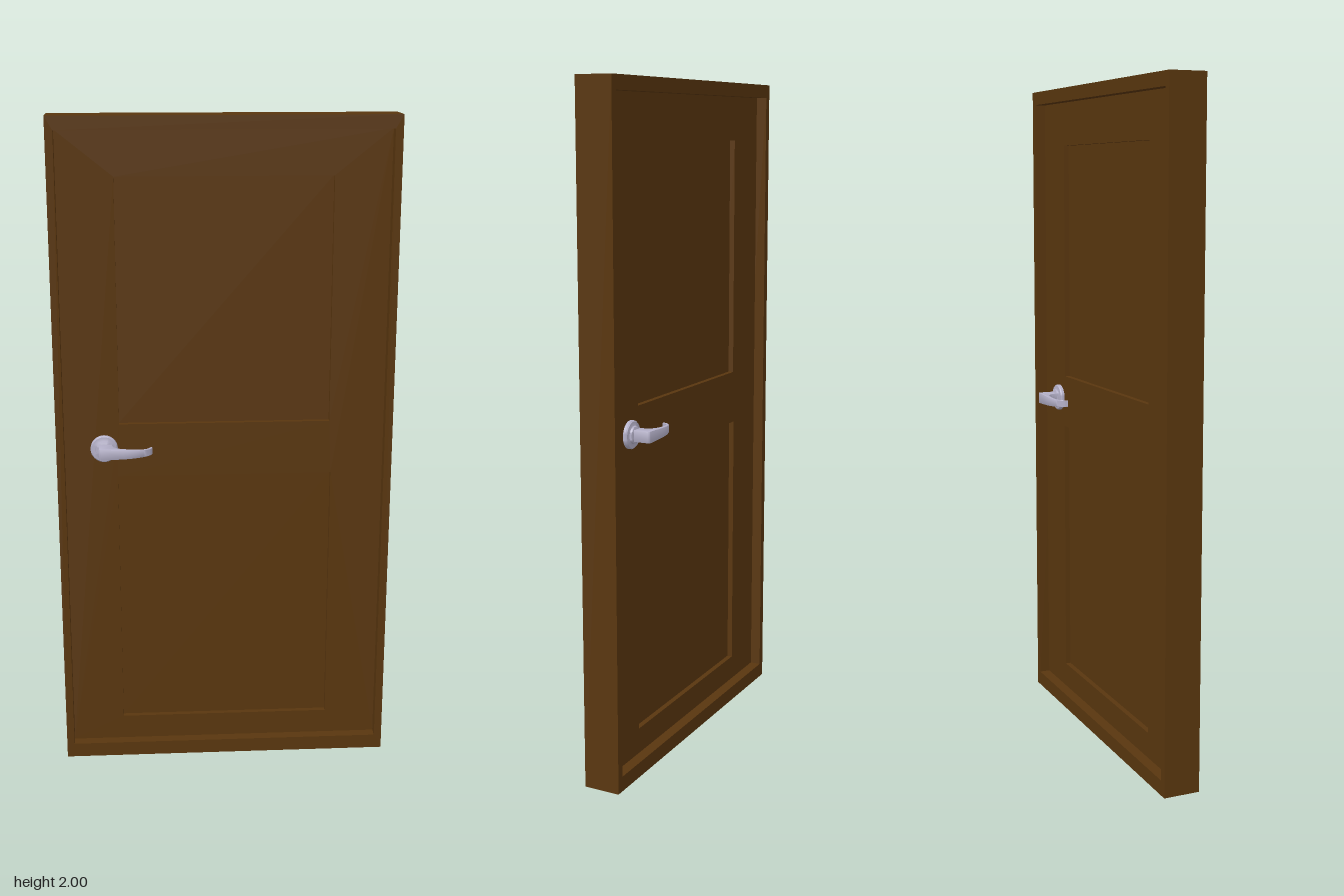
import * as THREE from 'three';
import { toCreasedNormals } from 'three/addons/utils/BufferGeometryUtils.js';

const W = 0.505, H = 2, FRAME_Z = 0.055, LEAF_Z = 0.022, PANEL_Z = 0.006;
const OPENING = [-0.482, 0.045, 0.482, 1.96];
const PANELS = [[-0.317, 1.096, 0.317, 1.828], [-0.324, 0.122, 0.324, 0.932]];

const wood = new THREE.MeshStandardMaterial({ color: 0x59360e });
wood.name = 'brown wood';
const metal = new THREE.MeshStandardMaterial({ color: 0xb4b0c8 });
metal.name = 'satin metal';

function part(name, geometry, material) {
  const mesh = new THREE.Mesh(geometry, material);
  mesh.name = name;
  return mesh;
}

function trace(path, [x0, y0, x1, y1]) {
  path.moveTo(x0, y0);
  path.lineTo(x1, y0);
  path.lineTo(x1, y1);
  path.lineTo(x0, y1);
  path.closePath();
  return path;
}

// Rectangular slab with rectangular openings, centred on z = 0
function slab(rect, openings, halfDepth) {
  const shape = trace(new THREE.Shape(), rect);
  for (const o of openings) shape.holes.push(trace(new THREE.Path(), o));
  const g = new THREE.ExtrudeGeometry(shape, { depth: 2 * halfDepth, bevelEnabled: false });
  return g.translate(0, 0, -halfDepth);
}

// Curved lever: plan outline (x along the lever, y away from the door), tapered in height
function leverGeometry() {
  const s = new THREE.Shape();
  s.moveTo(-0.015, 0);
  s.lineTo(-0.015, 0.066);
  s.quadraticCurveTo(-0.014, 0.071, -0.006, 0.071);
  s.lineTo(0.06, 0.071);
  s.bezierCurveTo(0.105, 0.07, 0.143, 0.058, 0.145, 0.03);
  s.lineTo(0.139, 0.029);
  s.bezierCurveTo(0.131, 0.05, 0.115, 0.06, 0.075, 0.058);
  s.bezierCurveTo(0.035, 0.056, 0.024, 0.05, 0.022, 0);
  s.closePath();
  const bevel = 0.002;
  const g = new THREE.ExtrudeGeometry(s, {
    depth: 0.03, curveSegments: 14, bevelEnabled: true,
    bevelThickness: bevel, bevelSize: bevel, bevelOffset: -bevel, bevelSegments: 2,
  });
  g.translate(0, 0, -0.015);
  g.rotateX(Math.PI / 2);
  const p = g.attributes.position;
  for (let i = 0; i < p.count; i++) {
    const t = THREE.MathUtils.clamp((p.getX(i) - 0.01) / 0.135, 0, 1);
    p.setY(i, p.getY(i) * (1 - 0.4 * t));
  }
  return toCreasedNormals(g, 0.7);
}

// Round plate with a raised hub
function rosetteGeometry() {
  const profile = [
    [0.041, 0], [0.041, 0.008], [0.038, 0.012], [0.026, 0.013],
    [0.025, 0.019], [0.022, 0.021], [0, 0.021],
  ].map(([r, y]) => new THREE.Vector2(r, y));
  const g = new THREE.LatheGeometry(profile, 32).rotateX(Math.PI / 2);
  return toCreasedNormals(g, 0.6);
}

export function createModel() {
  const model = new THREE.Group();
  model.name = 'door';

  model.add(part('frame', slab([-W, 0, W, H], [OPENING], FRAME_Z), wood));
  model.add(part('leaf', slab(OPENING, PANELS, LEAF_Z), wood));
  PANELS.forEach((rect, i) => {
    model.add(part(i ? 'lowerPanel' : 'upperPanel', slab(rect, [], PANEL_Z), wood));
  });

  // One handle on each face, turned half a circle
  const lever = leverGeometry(), rosette = rosetteGeometry();
  for (const [name, angle] of [['frontHandle', 0], ['backHandle', Math.PI]]) {
    const handle = new THREE.Group();
    handle.name = name;
    handle.add(part('rosette', rosette, metal), part('lever', lever, metal));
    handle.children.forEach((m) => m.position.set(-0.363, 1.022, LEAF_Z));
    handle.rotation.y = angle;
    model.add(handle);
  }
  return model;
}
